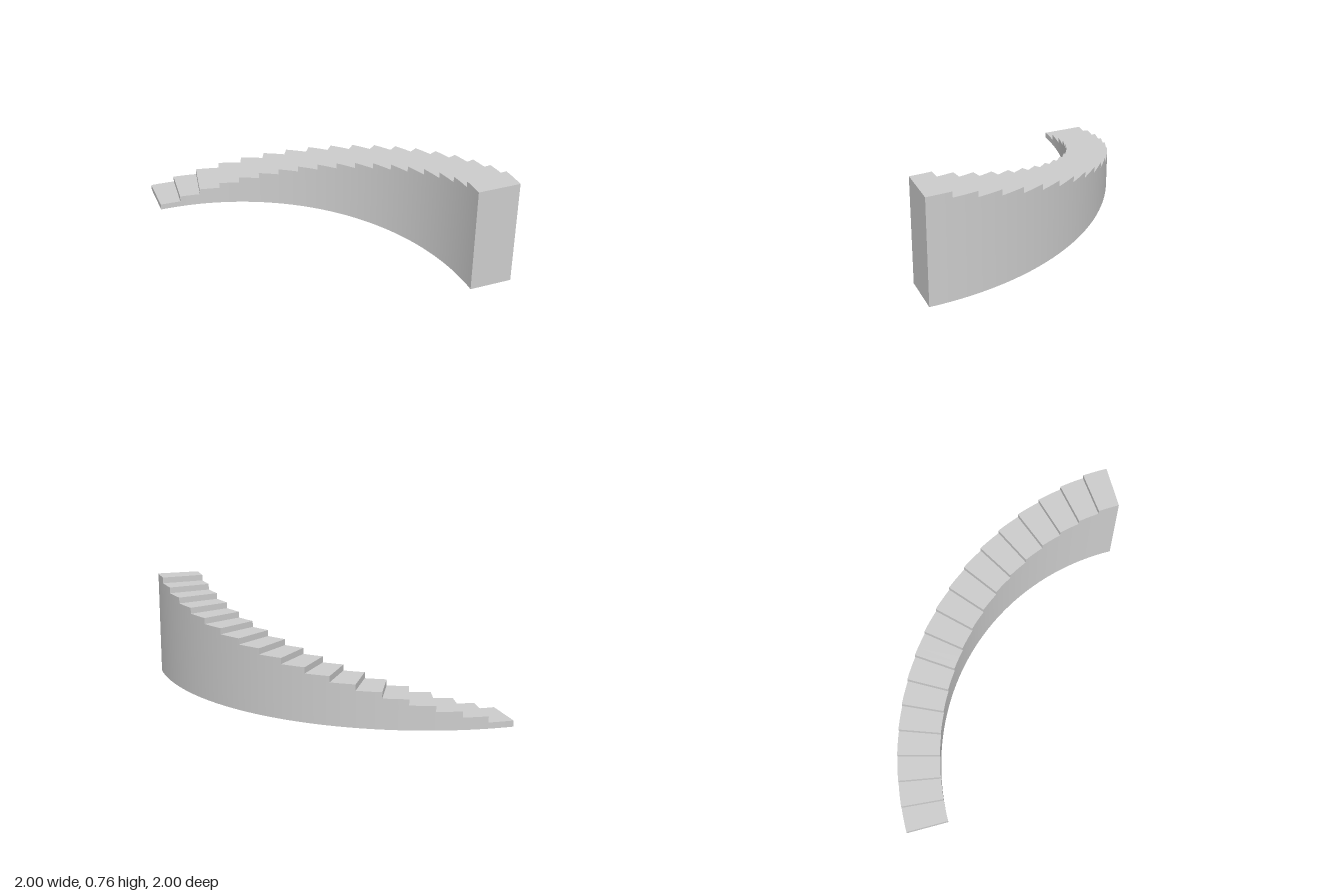
import * as THREE from 'three';

const STEPS = 18, SEGS = 3;          // steps in the quarter turn, facets per step
const OUTER = 2, INNER = 1.7, HEIGHT = 0.76;
const RISE = HEIGHT / STEPS, TURN = Math.PI / 2 / STEPS;

// Point on the quarter circle centred on (-1, 1); angle 0 is the low end
const at = (r, a, y) => [-1 + r * Math.sin(a), y, 1 - r * Math.cos(a)];

// Gathers four-cornered faces, each corner with its own normal
function quadMesh(name, material, quads) {
  const position = [], normal = [];
  for (const { corners, normals } of quads) {
    for (const i of [0, 1, 2, 0, 2, 3]) {
      position.push(...corners[i]);
      normal.push(...normals[i]);
    }
  }
  const geometry = new THREE.BufferGeometry();
  geometry.setAttribute('position', new THREE.Float32BufferAttribute(position, 3));
  geometry.setAttribute('normal', new THREE.Float32BufferAttribute(normal, 3));
  const mesh = new THREE.Mesh(geometry, material);
  mesh.name = name;
  return mesh;
}

const flat = (n, ...corners) => ({ corners, normals: [n, n, n, n] });

// Vertical strip of a curved wall; side is 1 for outward, -1 for inward
function wall(r, from, to, h, side) {
  const n = a => [side * Math.sin(a), 0, -side * Math.cos(a)];
  return {
    corners: [at(r, from, 0), at(r, to, 0), at(r, to, h), at(r, from, h)],
    normals: [n(from), n(to), n(to), n(from)],
  };
}

export function createModel() {
  const group = new THREE.Group();
  group.name = 'curvedStaircase';
  const stone = new THREE.MeshStandardMaterial({ color: 0xcccccc });
  stone.name = 'light grey';

  const treads = [], risers = [], outerWall = [], innerWall = [], underside = [];
  for (let i = 0; i < STEPS; i++) {
    const start = i * TURN, low = i * RISE, high = low + RISE;

    // Riser faces the low end
    risers.push(flat([-Math.cos(start), 0, -Math.sin(start)],
      at(OUTER, start, low), at(INNER, start, low),
      at(INNER, start, high), at(OUTER, start, high)));

    for (let j = 0; j < SEGS; j++) {
      const a = start + TURN * j / SEGS, b = start + TURN * (j + 1) / SEGS;
      treads.push(flat([0, 1, 0],
        at(OUTER, a, high), at(INNER, a, high), at(INNER, b, high), at(OUTER, b, high)));
      underside.push(flat([0, -1, 0],
        at(INNER, a, 0), at(OUTER, a, 0), at(OUTER, b, 0), at(INNER, b, 0)));
      outerWall.push(wall(OUTER, b, a, high, 1));
      innerWall.push(wall(INNER, a, b, high, -1));
    }
  }

  // Tall flat end below the top step
  const q = Math.PI / 2;
  const endWall = [flat([0, 0, 1],
    at(INNER, q, 0), at(OUTER, q, 0), at(OUTER, q, HEIGHT), at(INNER, q, HEIGHT))];

  const parts = { treads, risers, outerWall, innerWall, underside, endWall };
  for (const [name, quads] of Object.entries(parts)) group.add(quadMesh(name, stone, quads));
  return group;
}
